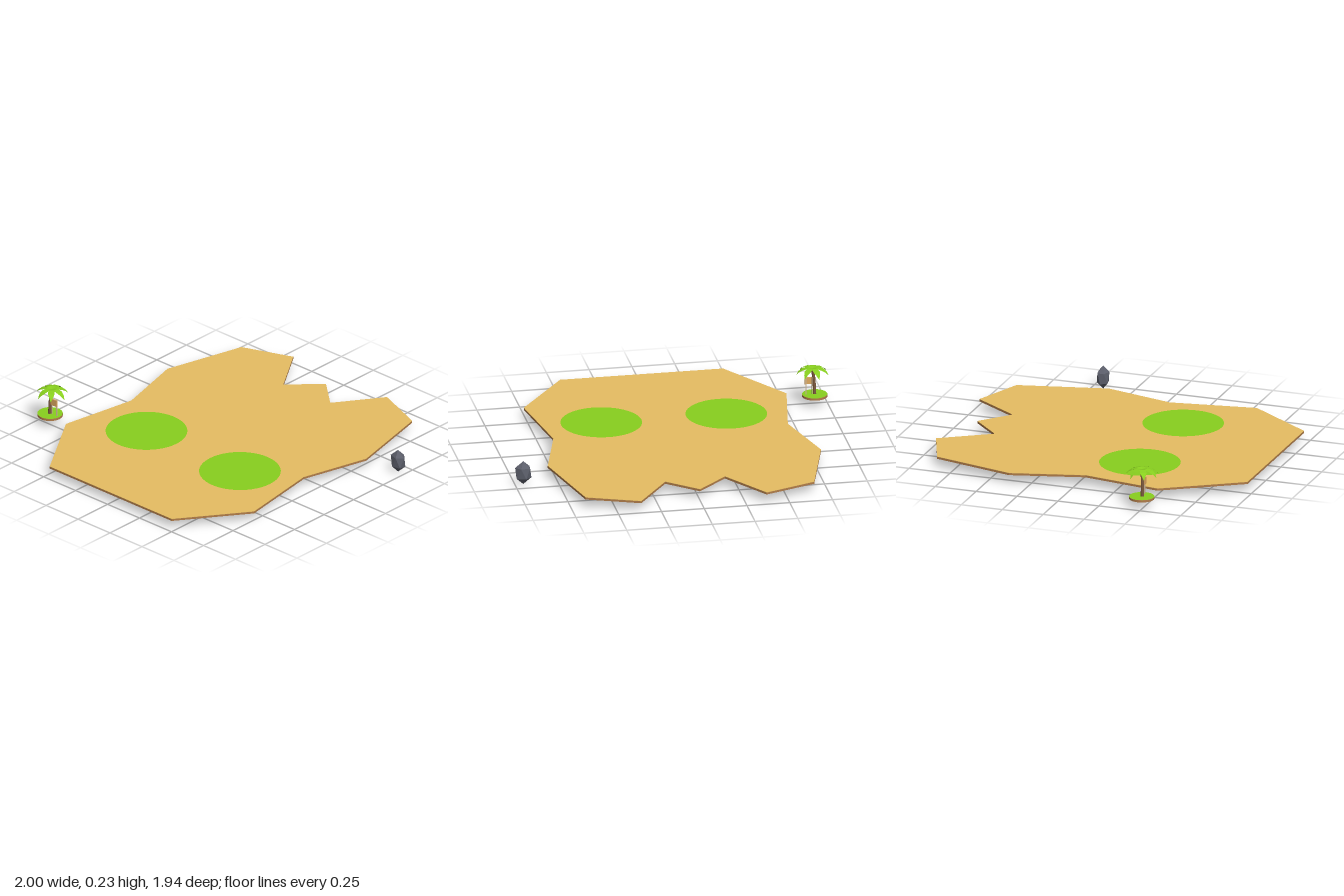
import * as THREE from 'three';

const mat = (name, color, extra = {}) => {
  const m = new THREE.MeshStandardMaterial({ color, ...extra });
  m.name = name;
  return m;
};

export function createModel() {
  const sand = mat('sand', 0xe6bd62);
  const dirt = mat('dirt', 0xb07c49);
  const grass = mat('grass', 0x88cf1e);
  const leaf = mat('leaf', 0x88cf1e, { side: THREE.DoubleSide, flatShading: true });
  const bark = mat('bark', 0x7d5a3e, { flatShading: true });
  const wood = mat('wood', 0xdfa95f);
  const paleWood = mat('paleWood', 0xcdb898);
  const stone = mat('stone', 0x5d606c, { flatShading: true });

  const model = new THREE.Group();
  const add = (parent, name, geometry, material, x = 0, y = 0, z = 0) => {
    const mesh = new THREE.Mesh(geometry, material);
    mesh.name = name;
    mesh.position.set(x, y, z);
    parent.add(mesh);
    return mesh;
  };
  const group = (name) => {
    const g = new THREE.Group();
    g.name = name;
    model.add(g);
    return g;
  };

  // Large flat ground: outline as x, z pairs
  const outline = [
    [-0.37, -0.973], [-0.18, -0.683], [-0.003, -0.853], [0.172, -0.7], [0.363, -0.973],
    [0.667, -0.857], [0.79, -0.335], [0.68, 0.075], [0.758, 0.58], [0.473, 0.97],
    [-0.48, 0.97], [-0.767, 0.522], [-0.687, 0.055], [-0.8, -0.373], [-0.67, -0.858],
  ];
  const shape = new THREE.Shape(outline.map(([x, z]) => new THREE.Vector2(x, -z)));
  const slab = (depth) =>
    new THREE.ExtrudeGeometry(shape, { depth, bevelEnabled: false }).rotateX(-Math.PI / 2);
  const ground = group('ground');
  add(ground, 'dirtLayer', slab(0.012), dirt, 0, 0.049, 0);
  add(ground, 'sandLayer', slab(0.002), sand, 0, 0.061, 0);

  // Round grass patches, flush with the sand
  for (const x of [-0.368, 0.363]) {
    add(ground, 'grassPatch', new THREE.CircleGeometry(0.235, 48).rotateX(-Math.PI / 2), grass, x, 0.064, 0.272);
  }

  // Small round islet
  const islet = group('islet');
  add(islet, 'isletDirt', new THREE.CylinderGeometry(0.073, 0.073, 0.013, 32), dirt, -0.925, 0.0555, 0.485);
  add(islet, 'isletGrass', new THREE.CircleGeometry(0.073, 32).rotateX(-Math.PI / 2), grass, -0.925, 0.063, 0.485);

  // Leaning palm trunk
  const palm = group('palm');
  const lean = new THREE.CatmullRomCurve3([
    new THREE.Vector3(-0.925, 0.058, 0.488),
    new THREE.Vector3(-0.921, 0.14, 0.488),
    new THREE.Vector3(-0.912, 0.222, 0.483),
  ]);
  add(palm, 'trunk', new THREE.TubeGeometry(lean, 6, 0.0095, 7), bark);

  // Drooping fronds: [reach, height, half width] along each frond
  const profile = [
    [0, 0.0, 0.005], [0.028, 0.006, 0.018], [0.06, -0.002, 0.019], [0.082, -0.016, 0.011], [0.097, -0.036, 0.0005],
  ];
  const frond = new THREE.PlaneGeometry(1, 1, 1, profile.length - 1);
  profile.forEach(([r, y, w], i) => {
    frond.attributes.position.setXYZ(i * 2, r, y, w);
    frond.attributes.position.setXYZ(i * 2 + 1, r, y, -w);
  });
  // Wind the faces so that the top side is the front
  frond.computeVertexNormals();
  if (frond.attributes.normal.getY(0) < 0) {
    frond.setIndex(Array.from(frond.index.array).reverse());
    frond.computeVertexNormals();
  }
  for (let i = 0; i < 7; i++) {
    add(palm, 'frond', frond, leaf, -0.912, 0.222, 0.483).rotation.y = (i / 7) * Math.PI * 2;
  }

  // Wooden sign beside the trunk
  const sign = group('sign');
  add(sign, 'signBoard', new THREE.BoxGeometry(0.05, 0.04, 0.008), wood, -0.892, 0.145, 0.49);
  for (const x of [-0.91, -0.873]) {
    add(sign, 'signPost', new THREE.BoxGeometry(0.005, 0.108, 0.006), paleWood, x, 0.115, 0.485);
  }

  // Floating faceted rock, one point up
  const rock = new THREE.IcosahedronGeometry(1, 0).rotateX(-Math.atan((1 + Math.sqrt(5)) / 2));
  rock.rotateY(0.25).scale(0.053, 0.07, 0.039);
  add(model, 'rock', rock, stone, 0.951, 0.07, -0.43);

  return model;
}
